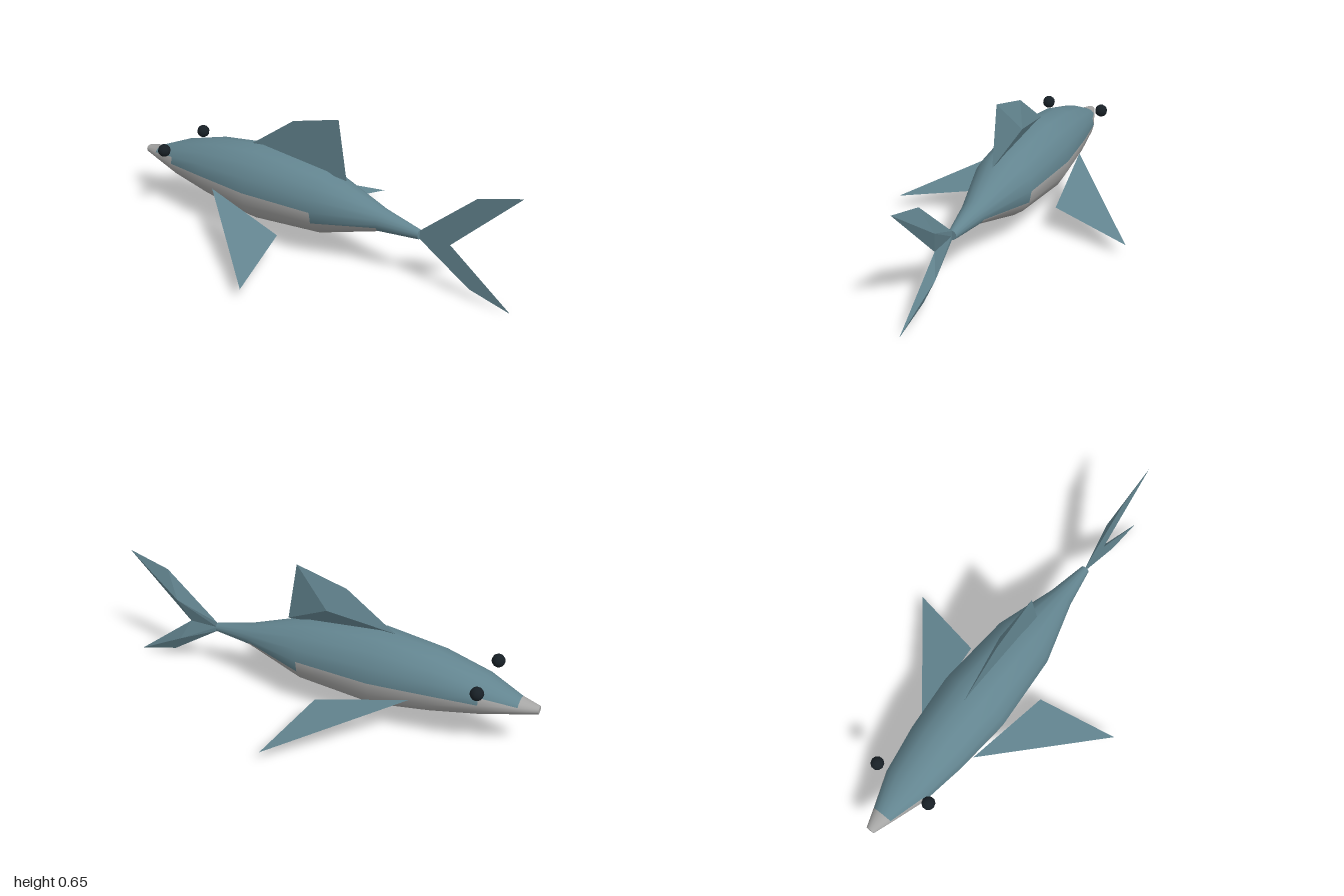
import * as THREE from 'three';

const material = (name, color) => {
  const m = new THREE.MeshStandardMaterial({ color });
  m.name = name;
  return m;
};

// Solid low-poly fin: a flat outline raised to one ridge point on one side
function fin(name, outline, ridge, mat) {
  const points = [...outline, ridge].map(p => new THREE.Vector3(...p));
  const centre = points.reduce((s, p) => s.add(p), new THREE.Vector3()).divideScalar(points.length);
  const n = outline.length;
  const tris = outline.map((_, i) => [i, (i + 1) % n, n]);
  for (let i = 1; i < n - 1; i++) tris.push([0, i, i + 1]);
  const normal = new THREE.Vector3(), tri = new THREE.Triangle();
  const corners = [];
  for (const [a, b, c] of tris) {
    tri.set(points[a], points[b], points[c]).getNormal(normal);
    const outward = normal.dot(points[a].clone().sub(centre)) >= 0;
    corners.push(points[a], ...(outward ? [points[b], points[c]] : [points[c], points[b]]));
  }
  const geo = new THREE.BufferGeometry().setFromPoints(corners);
  geo.computeVertexNormals();
  const mesh = new THREE.Mesh(geo, mat);
  mesh.name = name;
  return mesh;
}

export function createModel() {
  const group = new THREE.Group();
  group.name = 'shark';
  const skin = material('blue grey skin', 0x638590);
  const belly = material('pale belly', 0xa6a6a5);
  const eyeBlack = material('eye black', 0x182026);

  // Body cross-sections from nose to tail: z, bottom, top, half width
  const rings = [
    [-1, 0.217, 0.252, 0.02],
    [-0.918, 0.2, 0.27, 0.05],
    [-0.763, 0.165, 0.338, 0.107],
    [-0.55, 0.118, 0.4, 0.142],
    [-0.286, 0.077, 0.436, 0.165],
    [0.067, 0.107, 0.4, 0.14],
    [0.356, 0.198, 0.3, 0.055],
    [0.544, 0.214, 0.257, 0.02],
  ];
  // Height of the pale area in each segment, in sides above the middle line
  const paleLimit = [4, 1, 0, 0, 0, -1, -4];
  const sides = 16;
  const positions = [];
  for (const [z, low, high, w] of rings) {
    for (let j = 0; j < sides; j++) {
      const a = (j / sides) * Math.PI * 2;
      positions.push(w * Math.cos(a), (low + high) / 2 + (high - low) / 2 * Math.sin(a), z);
    }
  }
  const skinFaces = [], bellyFaces = [];
  for (let i = 0; i < rings.length - 1; i++) {
    for (let j = 0; j < sides; j++) {
      const k = (j + 1) % sides;
      const a = i * sides + j, b = i * sides + k;
      const height = Math.sin((j + 0.5) / sides * Math.PI * 2);
      const pale = height < Math.sin(paleLimit[i] * Math.PI / 8);
      (pale ? bellyFaces : skinFaces).push(a, b, a + sides, b, b + sides, a + sides);
    }
  }
  const bodyGeo = new THREE.BufferGeometry();
  bodyGeo.setAttribute('position', new THREE.Float32BufferAttribute(positions, 3));
  bodyGeo.setIndex([...skinFaces, ...bellyFaces]);
  bodyGeo.addGroup(0, skinFaces.length, 0);
  bodyGeo.addGroup(skinFaces.length, bellyFaces.length, 1);
  bodyGeo.computeVertexNormals();
  const body = new THREE.Mesh(bodyGeo, [skin, belly]);
  body.name = 'body';
  group.add(body);

  // Flat ends of the body
  const addCap = (name, [z, low, high, w], mat, turn) => {
    const cap = new THREE.Mesh(new THREE.CircleGeometry(1, sides), mat);
    cap.name = name;
    cap.scale.set(w, (high - low) / 2, 1);
    cap.position.set(0, (low + high) / 2, z);
    cap.rotation.y = turn;
    group.add(cap);
  };
  addCap('noseTip', rings[0], belly, Math.PI);
  addCap('tailStub', rings[rings.length - 1], skin, 0);

  // Dorsal fin and tail lobes, each flat on the right and ridged on the left
  group.add(
    fin('dorsalFin', [[0, 0.658, 0.125], [0, 0.594, -0.115], [0, 0.43, -0.345], [0, 0.38, 0.17]],
      [0.044, 0.49, -0.04], skin),
    fin('upperTailLobe', [[0, 0.537, 1], [0, 0.48, 0.8], [0, 0.255, 0.544], [0, 0.23, 0.544], [0, 0.232, 0.69]],
      [0.03, 0.345, 0.74], skin),
    fin('lowerTailLobe', [[0, 0.003, 0.983], [0, 0.053, 0.79], [0, 0.215, 0.544], [0, 0.235, 0.544], [0, 0.232, 0.69]],
      [0.028, 0.135, 0.74], skin),
  );

  // Paired side fins and eyes
  for (const [side, s] of [['left', 1], ['right', -1]]) {
    group.add(fin(side + 'PectoralFin',
      [[s * 0.146, 0.218, -0.476], [s * 0.566, 0.063, 0.02], [s * 0.202, 0.13, -0.06]],
      [s * 0.3, 0.122, -0.18], skin));
    const eye = new THREE.Mesh(new THREE.SphereGeometry(0.03, 10, 8), eyeBlack);
    eye.name = side + 'Eye';
    eye.position.set(s * 0.141, 0.333, -0.768);
    group.add(eye);
  }
  return group;
}
